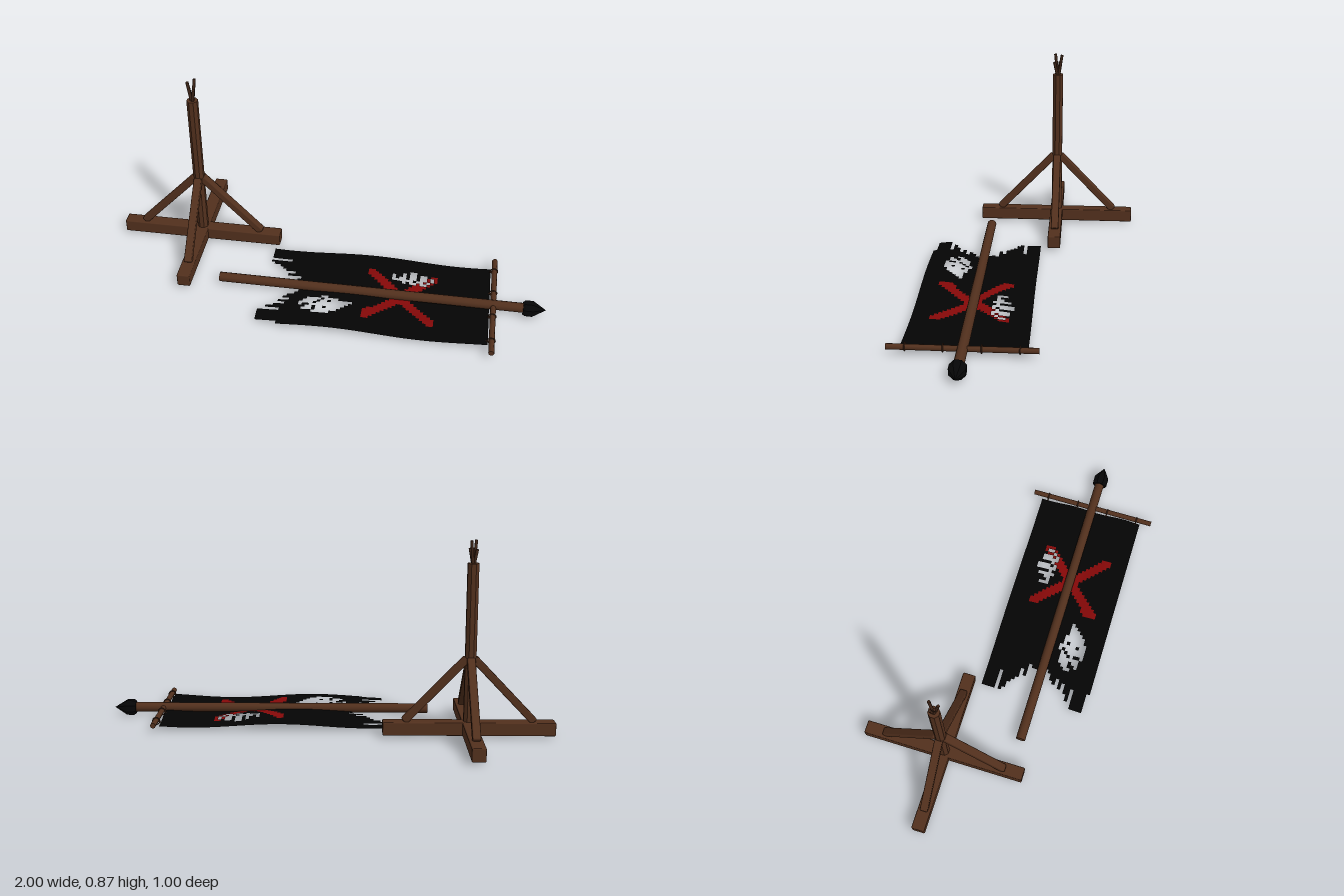
import * as THREE from 'three';
import { RoundedBoxGeometry } from 'three/addons/geometries/RoundedBoxGeometry.js';

const paint = (name, color, extra = {}) => Object.assign(new THREE.MeshStandardMaterial({ color, ...extra }), { name });
const wood = paint('wood', 0x52301d);
const darkWood = paint('darkWood', 0x402618);
const iron = paint('blackIron', 0x060607);
const two = { side: THREE.DoubleSide };
const cloth = [paint('blackCloth', 0x040404, two), paint('redPaint', 0x850808, two)];

function add(parent, name, geometry, material, x = 0, y = 0, z = 0) {
  const mesh = new THREE.Mesh(geometry, material);
  mesh.name = name;
  mesh.position.set(x, y, z);
  parent.add(mesh);
  return mesh;
}

// A straight member running between two points
function span(parent, name, a, b, makeGeometry, material) {
  const from = new THREE.Vector3(...a), to = new THREE.Vector3(...b);
  const dir = to.clone().sub(from);
  const mesh = add(parent, name, makeGeometry(dir.length()), material);
  mesh.position.copy(from).add(to).multiplyScalar(0.5);
  mesh.quaternion.setFromUnitVectors(new THREE.Vector3(0, 1, 0), dir.normalize());
}
const rod = (r, sides = 8) => (len) => new THREE.CylinderGeometry(r, r, len, sides);

function createStand() {
  const stand = new THREE.Group();
  stand.name = 'stand';
  stand.position.set(-0.622, 0, -0.122);
  const beam = new RoundedBoxGeometry(0.756, 0.06, 0.06, 1, 0.005);
  add(stand, 'crossBeam', beam, wood, 0, 0.043, 0);
  add(stand, 'longBeam', beam, wood, 0, 0.043, 0).rotation.y = Math.PI / 2;
  const post = new THREE.CylinderGeometry(0.026, 0.026, 0.74, 8).toNonIndexed();
  post.rotateY(Math.PI / 8);
  post.computeVertexNormals();
  add(stand, 'post', post, wood, 0, 0.4, 0);

  // Four diagonal braces
  for (let i = 0; i < 4; i++) {
    const side = new THREE.Group();
    side.name = 'braceSide';
    side.rotation.y = i * Math.PI / 2;
    span(side, 'brace', [0.284, 0.073, 0], [0.016, 0.355, 0],
      (len) => new RoundedBoxGeometry(0.033, len, 0.036, 1, 0.006), wood);
    stand.add(side);
  }

  // Splayed prongs at the top of the post
  for (const [x, y, z] of [[-0.012, 0.868, 0.014], [0.012, 0.868, -0.018], [0.014, 0.833, 0.018], [-0.014, 0.83, -0.008]])
    span(stand, 'prong', [x * 0.15, 0.76, z * 0.15], [x, y, z], rod(0.007, 6), darkWood);
  return stand;
}

// Start column of every cloth row, giving the torn end ('a' is ten)
const torn = [...'000060134586a99aba97685742600006'].map((c) => parseInt(c, 16));

// Cut-outs in the cloth: [first column, first row, rows]
const cutouts = [
  [11, 19, ['......##.......', '..####.####....', '.####.##.######', '####.#########.',
    '#..##########..', '..##.##.####...', '.###.######....', '....#####......']],
  [36, 5, ['.....##.....', '...#.##.##..', '#..#.##.##.#', '#.##.##.##.#', '######.##.#.', '...#.##.##..']],
];
const isCut = (i, j) => cutouts.some(([c, r, rows]) => rows[j - r]?.[i - c] === '#');

// Crossed red bars with ragged, knobbed ends
function isRed(i, j) {
  const dx = Math.abs(i - 38.5), dz = Math.abs(j - 16);
  const ragged = (i * 7 + j * 3) % 5 === 0 ? 0.9 : 0;
  const width = (dx > 6.5 && i < 38 ? 3.3 : 2.5) - ragged;
  return dx < 10.5 && dz < 10.5 && Math.abs(dx - dz) < width;
}

// Rippled cloth made of small square cells, grouped by colour
function clothGeometry() {
  const cols = 64, rows = 32, cells = [[], []], positions = [];
  const x0 = -0.258, z0 = -0.06, sx = 1.011 / cols, sz = 0.504 / rows;
  for (let j = 0; j <= rows; j++) for (let i = 0; i <= cols; i++) {
    const x = x0 + i * sx, z = z0 + j * sz;
    positions.push(x, 0.029 + 0.009 * Math.sin(8 * x + 2.2 * z) + 0.006 * Math.cos(25 * (z - 0.36)), z);
  }
  for (let j = 0; j < rows; j++) for (let i = torn[j]; i < cols; i++) {
    if (isCut(i, j)) continue;
    const a = j * (cols + 1) + i, b = a + cols + 1;
    cells[isRed(i, j) ? 1 : 0].push(a, b, a + 1, b, b + 1, a + 1);
  }
  const g = new THREE.BufferGeometry();
  g.setAttribute('position', new THREE.Float32BufferAttribute(positions, 3));
  g.setIndex(cells.flat());
  g.addGroup(0, cells[0].length, 0);
  g.addGroup(cells[0].length, cells[1].length, 1);
  g.computeVertexNormals();
  return g;
}

function createBanner() {
  const banner = new THREE.Group();
  banner.name = 'banner';
  const z = 0.195, y = 0.038;
  add(banner, 'cloth', clothGeometry(), cloth);
  span(banner, 'pole', [-0.465, y, z], [0.91, y, z], rod(0.022, 10), wood);
  span(banner, 'crossbar', [0.77, y, -0.105], [0.77, y, 0.497], rod(0.0125), wood);

  // Ties holding the cloth to the crossbar
  for (const tz of [-0.03, 0.12, 0.272, 0.422]) {
    add(banner, 'tie', new THREE.TorusGeometry(0.016, 0.003, 5, 12), darkWood, 0.768, y, tz);
    span(banner, 'tieCord', [0.745, 0.032, tz], [0.77, y, tz], rod(0.003, 5), darkWood);
  }

  // Pointed finial
  const profile = [[0, 0], [0.03, 0], [0.037, 0.01], [0.037, 0.042], [0, 0.1]].map((p) => new THREE.Vector2(...p));
  const tip = new THREE.LatheGeometry(profile, 8).toNonIndexed();
  tip.rotateY(Math.PI / 8);
  tip.computeVertexNormals();
  add(banner, 'finial', tip, iron, 0.9, 0.037, z).rotation.z = -Math.PI / 2;
  return banner;
}

export function createModel() {
  const model = new THREE.Group();
  model.name = 'fallenBannerAndStand';
  model.add(createStand(), createBanner());
  return model;
}
